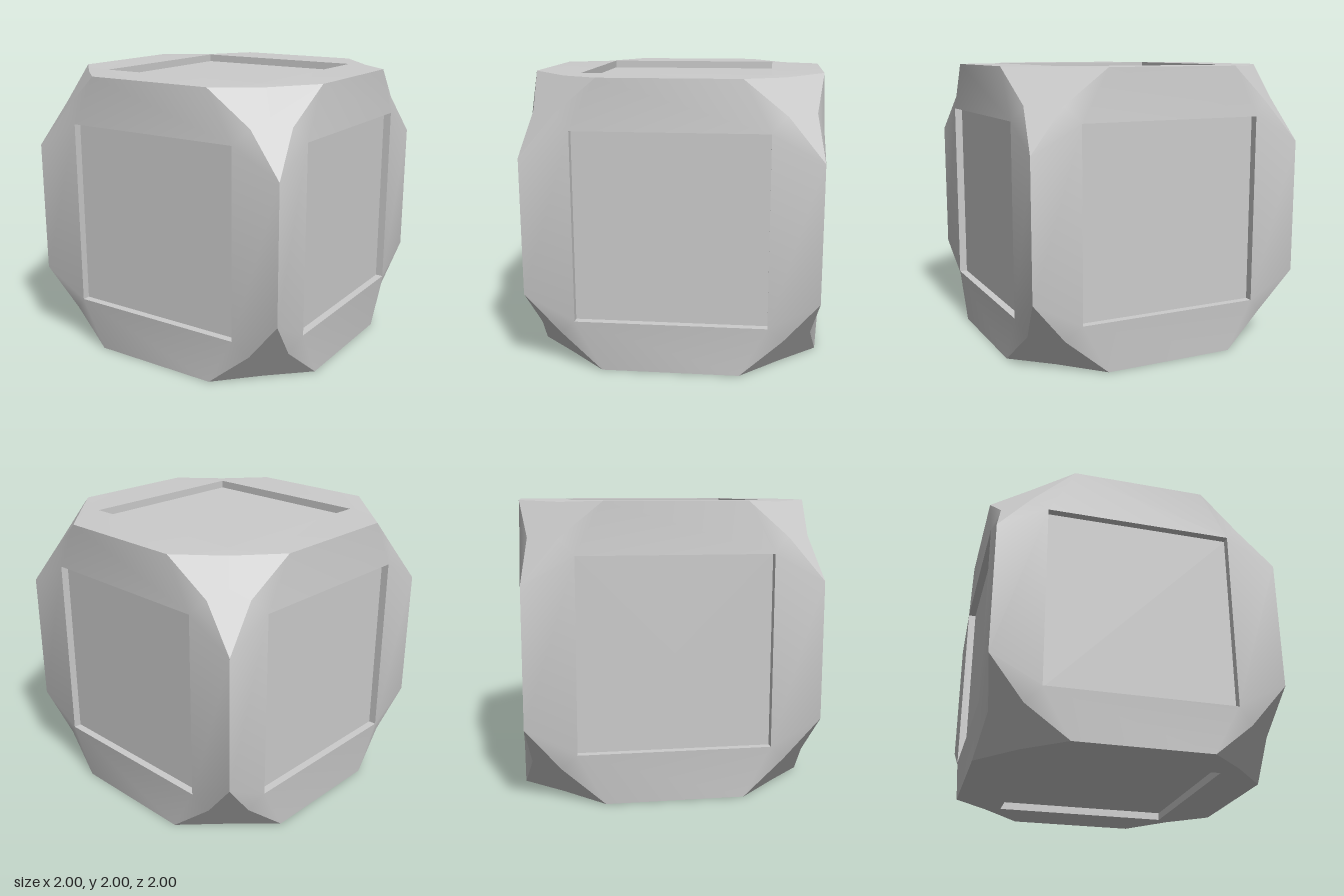
import * as THREE from 'three';
import { toCreasedNormals } from 'three/addons/utils/BufferGeometryUtils.js';

const EDGE = 0.47;    // where the corner cuts meet the cube's edges
const DEPTH = 0.055;  // depth of the square recesses
const SIDE = { mid: 0.76, height: 0.95, panel: 0.655 }; // side faces dip at the corners
const CAP = { mid: 0.74, height: 0.99, panel: 0.645 };  // top and bottom are nearly flat

const material = new THREE.MeshStandardMaterial({ color: 0xcccccc });

// Mesh from a list of triangles, each three [x, y, z] points
function triangleMesh(triangles, name) {
  const geometry = new THREE.BufferGeometry();
  geometry.setAttribute('position', new THREE.Float32BufferAttribute(triangles.flat(2), 3));
  const mesh = new THREE.Mesh(toCreasedNormals(geometry, 0.5), material);
  mesh.name = name;
  return mesh;
}

// One cube face looking along +z: a bevelled frame around a sunken square
function makeFace({ mid, height, panel }, name) {
  const face = new THREE.Group();
  face.name = name;
  const turn = (point, quarter) => {
    let [u, v, n] = point;
    for (let i = 0; i < quarter; i++) [u, v] = [-v, u];
    return [u, v, n];
  };
  const frame = [], recess = [];
  const low = 1 - DEPTH;
  for (let q = 0; q < 4; q++) {
    const a = turn([1, EDGE, 1], q), m = turn([mid, mid, height], q), b = turn([EDGE, 1, 1], q);
    const p = turn([panel, panel, 1], q), floor = turn([panel, panel, low], q);
    const nextA = turn([1, EDGE, 1], q + 1);
    const nextP = turn([panel, panel, 1], q + 1), nextFloor = turn([panel, panel, low], q + 1);
    frame.push([p, a, m], [p, m, b], [p, b, nextA], [p, nextA, nextP]);
    recess.push([p, nextP, nextFloor], [p, nextFloor, floor], [floor, nextFloor, [0, 0, low]]);
  }
  face.add(triangleMesh(frame, 'faceFrame'), triangleMesh(recess, 'recessedPanel'));
  return face;
}

// Flat six-pointed facet that cuts off one corner of the cube
function makeCorner(sx, sy, sz) {
  const c = (2 + EDGE) / 3;
  const place = ([x, y, z]) => [x * sx, y * sy, z * sz];
  const rim = [
    [EDGE, 1, 1], [SIDE.mid, SIDE.mid, SIDE.height],
    [1, EDGE, 1], [SIDE.height, SIDE.mid, SIDE.mid],
    [1, 1, EDGE], [CAP.mid, CAP.height, CAP.mid],
  ].map(place);
  if (sx * sy * sz < 0) rim.reverse();
  const center = place([c, c, c]);
  return triangleMesh(rim.map((p, i) => [center, p, rim[(i + 1) % 6]]), 'cornerFacet');
}

export function createModel() {
  const model = new THREE.Group();
  model.name = 'truncatedCube';

  // Four side faces
  ['frontFace', 'leftFace', 'backFace', 'rightFace'].forEach((name, i) => {
    const face = makeFace(SIDE, name);
    face.rotation.y = i * Math.PI / 2;
    model.add(face);
  });

  // Top and bottom faces
  for (const s of [1, -1]) {
    const face = makeFace(CAP, s > 0 ? 'topFace' : 'bottomFace');
    face.rotation.x = -s * Math.PI / 2;
    model.add(face);
  }

  // Eight cut corners
  for (const sx of [1, -1])
    for (const sy of [1, -1])
      for (const sz of [1, -1]) model.add(makeCorner(sx, sy, sz));

  // Stand the cube on the ground
  for (const part of model.children) part.position.y = 1;
  return model;
}
